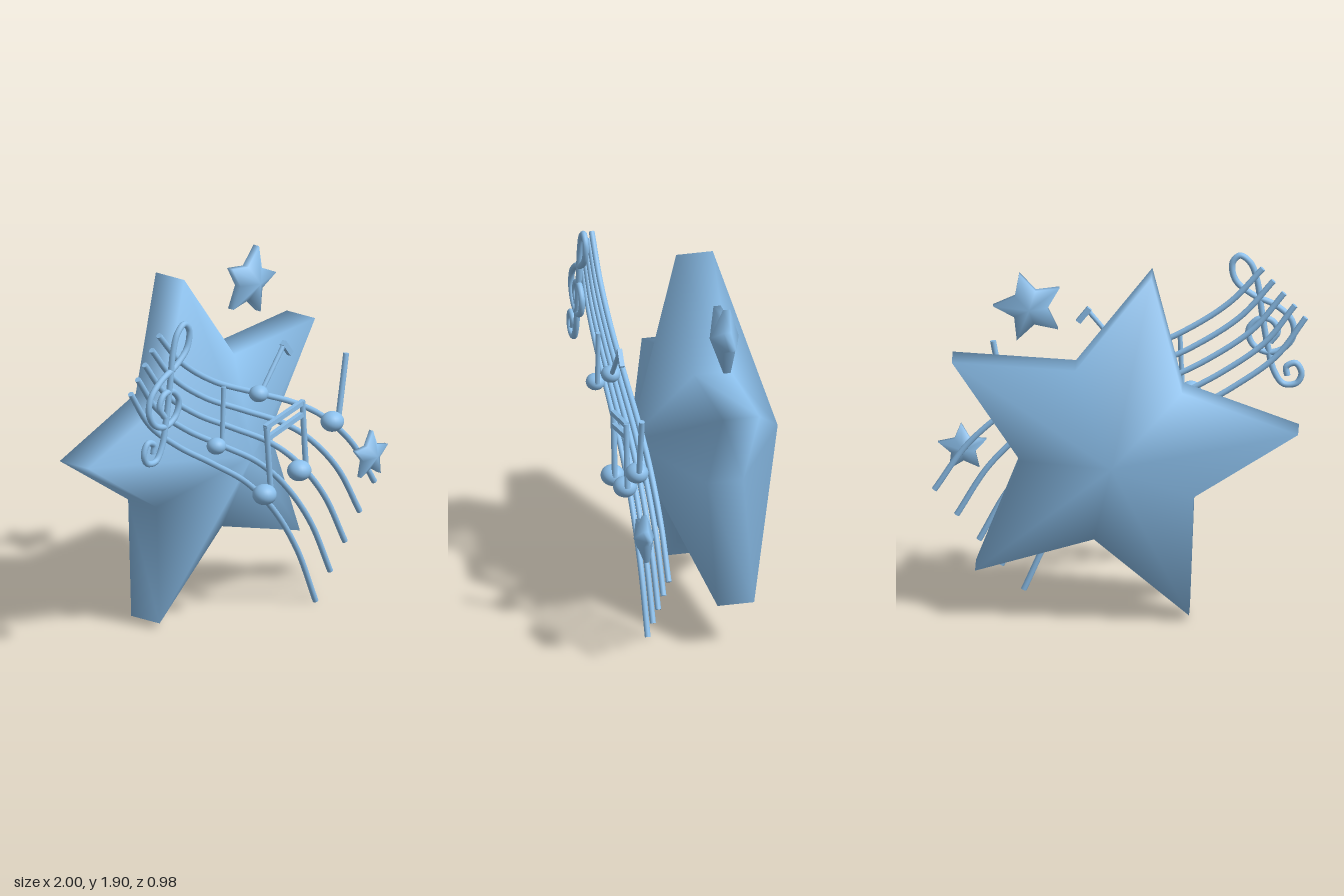
import * as THREE from 'three';

const material = new THREE.MeshStandardMaterial({ color: 0x8cc0ec });

function addMesh(parent, name, geometry) {
  const mesh = new THREE.Mesh(geometry, material);
  mesh.name = name;
  parent.add(mesh);
  return mesh;
}

// Puffy star: front and back pyramids joined by a thin rim, smooth all over
function addStar(parent, name, radius, turnDegrees, x, y, z) {
  const rim = 0.101 * radius, apex = 0.41 * radius, n = 10;
  const points = [0, 0, apex, 0, 0, -apex], faces = [];
  for (let i = 0; i < n; i++) {
    const a = Math.PI / 2 - THREE.MathUtils.degToRad(turnDegrees) - (i * Math.PI) / 5;
    const r = i % 2 ? radius * 0.5 : radius;
    points.push(r * Math.cos(a), r * Math.sin(a), rim, r * Math.cos(a), r * Math.sin(a), -rim);
    const front = 2 + 2 * i, back = front + 1;
    const nextFront = 2 + 2 * ((i + 1) % n), nextBack = nextFront + 1;
    faces.push(0, nextFront, front, 1, back, nextBack);
    faces.push(front, nextFront, nextBack, front, nextBack, back);
  }
  const geometry = new THREE.BufferGeometry();
  geometry.setAttribute('position', new THREE.Float32BufferAttribute(points, 3));
  geometry.setIndex(faces);
  geometry.computeVertexNormals();
  addMesh(parent, name, geometry).position.set(x, y, z);
}

// Round tube with closed ends through points in a plane of constant z
function addTube(parent, name, points, z, radius, segments) {
  const curve = new THREE.CatmullRomCurve3(points.map(([x, y]) => new THREE.Vector3(x, y, z)));
  addMesh(parent, name, new THREE.TubeGeometry(curve, segments, radius, 12));
  for (const t of [0, 1]) {
    const cap = addMesh(parent, name + 'End', new THREE.CircleGeometry(radius, 12));
    const outward = curve.getTangentAt(t).multiplyScalar(t ? 1 : -1);
    cap.position.copy(curve.getPointAt(t));
    cap.quaternion.setFromUnitVectors(new THREE.Vector3(0, 0, 1), outward);
  }
}

// Straight flat bar from a to b
function addBar(parent, name, a, b, z, height, depth) {
  const dx = b[0] - a[0], dy = b[1] - a[1];
  const bar = addMesh(parent, name, new THREE.BoxGeometry(Math.hypot(dx, dy), height, depth));
  bar.position.set((a[0] + b[0]) / 2, (a[1] + b[1]) / 2, z);
  bar.rotation.z = Math.atan2(dy, dx);
}

export function createModel() {
  const model = new THREE.Group();
  model.name = 'musicalStar';

  // Stars
  addStar(model, 'largeStar', 0.988, -11.9, 0.024, 0.933, -0.087);
  addStar(model, 'upperSmallStar', 0.194, 16, 0.471, 1.711, -0.092);
  addStar(model, 'lowerSmallStar', 0.136, 4, 0.838, 0.762, 0.435);

  // Five flowing staff lines, blended between the outer two
  const top = [[-0.757, 1.8], [-0.58, 1.61], [-0.32, 1.44], [0, 1.3], [0.335, 1.158],
    [0.566, 1.027], [0.808, 0.815], [0.987, 0.558]];
  const bottom = [[-0.985, 1.53], [-0.83, 1.315], [-0.605, 1.145], [-0.322, 0.978],
    [-0.05, 0.807], [0.166, 0.606], [0.357, 0.34], [0.512, 0.008]];
  const staff = new THREE.Group();
  staff.name = 'staff';
  model.add(staff);
  for (let i = 0; i < 5; i++) {
    const t = i / 4;
    const path = top.map(([x, y], k) => [
      THREE.MathUtils.lerp(x, bottom[k][0], t),
      THREE.MathUtils.lerp(y, bottom[k][1], t),
    ]);
    addTube(staff, 'staffLine', path, 0.335, 0.016, 80);
  }

  // Treble clef
  const clef = new THREE.Group();
  clef.name = 'trebleClef';
  model.add(clef);
  addTube(clef, 'clefCurve', [
    [-0.885, 1.187], [-0.88, 1.235], [-0.93, 1.255], [-0.961, 1.2], [-0.935, 1.145],
    [-0.865, 1.14], [-0.815, 1.21], [-0.78, 1.355], [-0.75, 1.54], [-0.725, 1.715],
    [-0.69, 1.81], [-0.635, 1.85], [-0.595, 1.81], [-0.61, 1.715], [-0.7, 1.635],
    [-0.825, 1.575], [-0.905, 1.5], [-0.92, 1.415], [-0.87, 1.34], [-0.78, 1.315],
    [-0.7, 1.36], [-0.68, 1.44], [-0.735, 1.5], [-0.805, 1.49], [-0.835, 1.43], [-0.795, 1.37],
  ], 0.407, 0.017, 220);

  // Notes: head centre, head radius, stem foot, stem top, stem radius
  const z = 0.407;
  const notes = [
    [[-0.374, 1.105], 0.053, [-0.328, 1.115], [-0.315, 1.42], 0.013],
    [[-0.031, 1.313], 0.053, [0.005, 1.335], [0.175, 1.54], 0.013],
    [[0.565, 1.011], 0.064, [0.618, 1.04], [0.677, 1.365], 0.016],
    [[0.016, 0.738], 0.066, [0.066, 0.75], [0.031, 1.115], 0.016],
    [[0.297, 0.803], 0.066, [0.35, 0.82], [0.322, 1.185], 0.016],
  ];
  for (const [head, radius, foot, tip, stemRadius] of notes) {
    const note = new THREE.Group();
    note.name = 'note';
    model.add(note);
    const ball = addMesh(note, 'noteHead', new THREE.SphereGeometry(radius, 24, 16));
    ball.position.set(head[0], head[1], z);
    ball.scale.set(1, 0.85, 0.97);
    addTube(note, 'noteStem', [foot, tip], z, stemRadius, 2);
  }

  // Flag on the single note and beams on the pair
  addBar(model, 'noteFlag', [0.165, 1.55], [0.225, 1.475], z, 0.03, 0.026);
  addBar(model, 'upperBeam', [0.02, 1.11], [0.33, 1.18], z, 0.026, 0.026);
  addBar(model, 'lowerBeam', [0.035, 1.045], [0.33, 1.115], z, 0.026, 0.026);

  return model;
}
